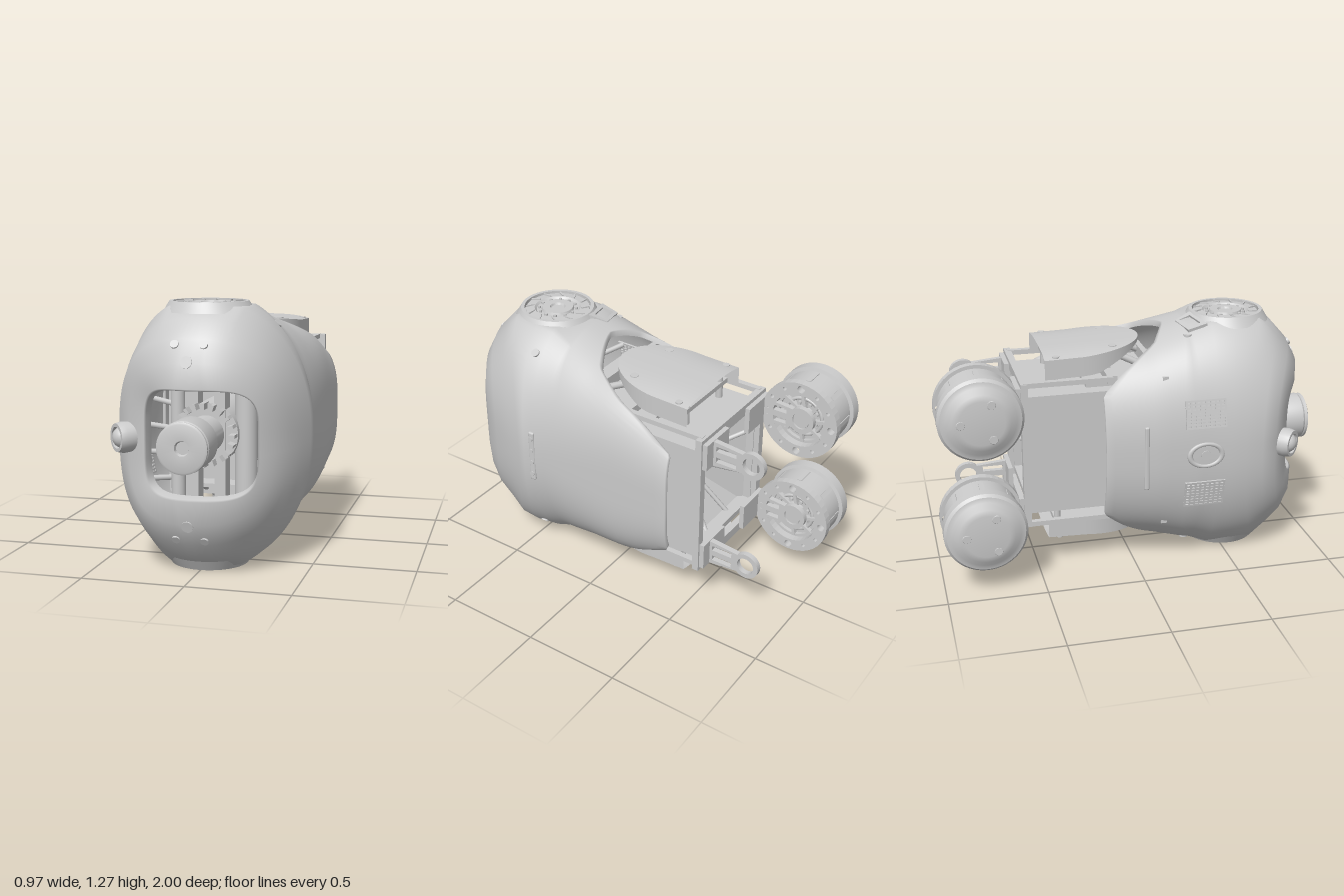
import * as THREE from 'three';
import { toCreasedNormals } from 'three/addons/utils/BufferGeometryUtils.js';
import { RoundedBoxGeometry } from 'three/addons/geometries/RoundedBoxGeometry.js';

const grey = new THREE.MeshStandardMaterial({ color: 0xcccccc, side: THREE.DoubleSide });
const MID = 0.635; // height of the mirror plane
const sgnPow = (v, p) => Math.sign(v) * Math.abs(v) ** p;

function add(parent, name, geometry, x = 0, y = 0, z = 0) {
  const m = new THREE.Mesh(geometry, grey);
  m.name = name;
  m.position.set(x, y, z);
  parent.add(m);
  return m;
}
const box = (p, name, w, h, d, x, y, z) => add(p, name, new THREE.BoxGeometry(w, h, d), x, y, z);
function cyl(p, name, r1, r2, len, axis, x, y, z, seg = 32) {
  const g = new THREE.CylinderGeometry(r1, r2, len, seg);
  if (axis === 'x') g.rotateZ(-Math.PI / 2);
  if (axis === 'z') g.rotateX(Math.PI / 2);
  return add(p, name, g, x, y, z);
}
function rod(p, name, a, b, r) {
  const A = new THREE.Vector3(...a), B = new THREE.Vector3(...b);
  return add(p, name, new THREE.TubeGeometry(new THREE.LineCurve3(A, B), 1, r, 10));
}
const lathe = (pts, seg = 56) =>
  toCreasedNormals(new THREE.LatheGeometry(pts.map(q => new THREE.Vector2(...q)), seg), 0.6);
const rectPath = (path, x0, y0, x1, y1) =>
  path.moveTo(x0, y0).lineTo(x1, y0).lineTo(x1, y1).lineTo(x0, y1).closePath();
const circle = (x, y, r) => new THREE.Path().absarc(x, y, r, 0, Math.PI * 2, true);
const extrude = (shape, depth) => new THREE.ExtrudeGeometry(shape, { depth, curveSegments: 20, bevelEnabled: false });

// Piecewise linear lookup in [key, value] pairs with rising keys
function lookup(table, k) {
  let i = 1;
  while (i < table.length - 1 && table[i][0] < k) i++;
  const [a, b] = [table[i - 1], table[i]];
  return a[1] + (b[1] - a[1]) * THREE.MathUtils.clamp((k - a[0]) / (b[0] - a[0]), 0, 1);
}

// Outer shell: rings from the front window to the swept rear edge
function shellGeometry() {
  // left extent (-x), right extent (+x), half height, centre z, -x side z, +x side z, squareness
  const rings = [
    [0.23, 0.29, 0.242, 0.87, 0.76, 0.76, 4.5], [0.235, 0.3, 0.25, 0.925, 0.82, 0.815, 4.5],
    [0.245, 0.308, 0.258, 0.933, 0.825, 0.815, 4.3], [0.34, 0.36, 0.37, 0.92, 0.77, 0.755, 3.1],
    [0.41, 0.415, 0.48, 0.86, 0.705, 0.66, 2.6], [0.43, 0.45, 0.57, 0.78, 0.63, 0.54, 2.3],
    [0.435, 0.475, 0.65, 0.7, 0.54, 0.46, 2.2], [0.435, 0.48, 0.66, 0.55, 0.46, 0.42, 2.2],
    [0.43, 0.452, 0.66, 0.42, 0.4, 0.4, 2.2], [0.43, 0.45, 0.61, 0.31, 0.32, 0.32, 2.3]];
  const rimRight = [[0, -0.43], [32, -0.42], [42, -0.27], [51, -0.1], [66, 0.09], [90, 0.2]];
  const rimLeft = [[0, -0.17], [36, -0.17], [50, -0.06], [70, 0.12], [90, 0.2]];
  const height = [[-0.43, 0.42], [-0.2, 0.5], [0.1, 0.55], [0.31, 0.61]];
  const left = [[-0.17, 0.385], [0.1, 0.42], [0.31, 0.43]];
  const squareness = [[-0.1, 3.2], [0.31, 2.3]];
  const N = 144, REAR = 12, pos = [], idx = [];
  const rows = rings.length + REAR + 1;
  for (let i = 0; i < rows; i++) for (let j = 0; j < N; j++) {
    const t = j / N * Math.PI * 2, c = Math.cos(t), s = Math.sin(t);
    const deg = Math.atan2(Math.abs(s), Math.abs(c)) * 180 / Math.PI;
    let xe, h, n, z, inset = 1;
    if (i < rings.length) {
      const [l, r, hh, z0, zl, zr, nn] = rings[i];
      xe = c < 0 ? l : r; h = hh; n = nn;
      z = z0 + ((c < 0 ? zl : zr) - z0) * Math.abs(c) ** (4 / n);
    } else {
      const k = Math.min(1, (i - rings.length + 1) / REAR);
      const z0 = 0.31 + 0.01 * c * c;
      z = z0 + (lookup(c < 0 ? rimLeft : rimRight, deg) - z0) * k;
      h = lookup(height, z);
      n = c < 0 ? 2.4 : lookup(squareness, z);
      xe = c < 0 ? lookup(left, z) : 0.45;
      if (i === rows - 1) inset = 0.95; // turned-in rear lip
    }
    const y = THREE.MathUtils.clamp(h * sgnPow(s, 2 / n), -0.615, 0.615);
    pos.push(xe * sgnPow(c, 2 / n) * inset, MID + y * inset, z);
  }
  for (let i = 0; i < rows - 1; i++) for (let j = 0; j < N; j++) {
    const a = i * N + j, b = i * N + (j + 1) % N, c = a + N, d = b + N;
    idx.push(a, c, b, b, c, d);
  }
  const g = new THREE.BufferGeometry();
  g.setAttribute('position', new THREE.Float32BufferAttribute(pos, 3));
  g.setIndex(idx);
  g.computeVertexNormals();
  return g;
}

// Domed rear cover with side skirts that deepen towards the back
function coverGeometry() {
  const g = new THREE.PlaneGeometry(2, 1, 24, 24), p = g.attributes.position;
  const skirt = [[-0.44, 0.1], [-0.17, 0.1], [0.085, 0.012]];
  for (let i = 0; i < p.count; i++) {
    const u = p.getX(i), v = p.getY(i) + 0.5, a = Math.abs(u);
    const z = 0.085 - 0.525 * v ** 1.6;
    const front = THREE.MathUtils.clamp((0.085 - z) / 0.32, 0, 1);
    const w = 0.242 * Math.sqrt(1 - (1 - front) ** 2);
    const across = Math.min(1, a / 0.75), down = Math.max(0, (a - 0.75) / 0.25);
    const y = 0.525 + 0.03 * (z + 0.43) - 0.022 * across ** 3 * front - lookup(skirt, z) * down;
    p.setXYZ(i, Math.sign(u) * across * w, y - 0.02, z);
  }
  return toCreasedNormals(g, 0.8);
}

// Mounting arm with two slots and an eye at the end, drawn in (distance back, height)
function armGeometry() {
  const s = new THREE.Shape().moveTo(0, -0.07).lineTo(0.05, -0.065).lineTo(0.19, -0.05)
    .absarc(0.23, 0, 0.07, -2.3, 2.3, false).lineTo(0.05, 0.065).lineTo(0, 0.07).closePath();
  s.holes.push(circle(0.23, 0, 0.045));
  for (const y of [-0.03, 0.03]) s.holes.push(rectPath(new THREE.Path(), 0.04, y - 0.014, 0.15, y + 0.014));
  return extrude(s, 0.028).rotateY(Math.PI / 2);
}

function wheel(parent, y) {
  const w = new THREE.Group();
  w.name = 'wheel';
  w.position.set(-0.24, y, -0.79);
  parent.add(w);
  // profile as radius and distance outwards
  const profile = [[0.13, 0.07], [0.13, 0], [0.19, 0], [0.19, 0.14], [0.208, 0.145], [0.208, 0.2],
    [0.195, 0.215], [0.17, 0.22], [0.14, 0.245], [0.11, 0.25], [0, 0.25]];
  add(w, 'wheelDrum', lathe(profile).rotateZ(Math.PI / 2));
  const ring = new THREE.Shape().absarc(0, 0, 0.208, 0, Math.PI * 2, false);
  ring.holes.push(circle(0, 0, 0.145));
  for (let i = 0; i < 12; i++) {
    const a = i * Math.PI / 6;
    ring.holes.push(circle(0.177 * Math.cos(a), 0.177 * Math.sin(a), i % 3 ? 0.01 : 0.02));
  }
  add(w, 'innerFlange', extrude(ring, 0.04).rotateY(Math.PI / 2));
  cyl(w, 'hubDisc', 0.13, 0.13, 0.02, 'x', -0.03, 0, 0);
  cyl(w, 'hub', 0.05, 0.06, 0.06, 'x', 0, 0, 0);
  add(w, 'hubRing', new THREE.TorusGeometry(0.1, 0.01, 8, 40).rotateY(Math.PI / 2), -0.015);
  for (let i = 0; i < 8; i++) {
    const a = i * Math.PI / 4;
    const spoke = box(w, 'spoke', 0.03, 0.09, 0.016, -0.01, 0.095 * Math.cos(a), 0.095 * Math.sin(a));
    spoke.rotation.x = a + 0.25;
    cyl(w, 'hubBolt', 0.01, 0.01, 0.02, 'x', -0.015, 0.075 * Math.cos(a + 0.4), 0.075 * Math.sin(a + 0.4), 10);
    const rib = box(w, 'drumRib', 0.1, 0.012, 0.025, -0.08, 0.187 * Math.cos(a), 0.187 * Math.sin(a));
    rib.rotation.x = a;
  }
  for (let i = 0; i < 3; i++) {
    const a = i * Math.PI * 2 / 3 + 0.5;
    cyl(w, 'capStud', 0.025, 0.02, 0.008, 'x', -0.248, 0.1 * Math.cos(a), 0.1 * Math.sin(a), 16);
  }
}

// Round joint in the top collar, repeated underneath
function collar(p) {
  add(p, 'collarRing', lathe([[0.22, 0.585], [0.19, 0.635], [0.172, 0.635], [0.172, 0.6]]), 0, 0, 0.545);
  add(p, 'jointDisc', lathe([[0.17, 0.6], [0.165, 0.625], [0.12, 0.628], [0.11, 0.617], [0.085, 0.617],
    [0.08, 0.63], [0.04, 0.63], [0.035, 0.62], [0, 0.62]]), 0, 0, 0.545);
  for (let i = 0; i < 12; i++) {
    const a = i * Math.PI / 6, s = Math.sin(a), c = Math.cos(a);
    cyl(p, 'jointBolt', 0.008, 0.008, 0.012, 'y', 0.097 * c, 0.622, 0.545 + 0.097 * s, 10);
    box(p, 'jointVane', 0.045, 0.012, 0.008, 0.145 * c, 0.627, 0.545 + 0.145 * s).rotation.y = -a + 0.5;
  }
  const loop = new THREE.Shape().moveTo(-0.09, 0).lineTo(0.09, 0).lineTo(0.07, 0.1).lineTo(-0.07, 0.1).closePath();
  loop.holes.push(rectPath(new THREE.Path(), -0.055, 0.02, 0.055, 0.08));
  const m = add(p, 'latchLoop', extrude(loop, 0.015).rotateX(-Math.PI / 2), -0.095, 0.608, 0.375);
  m.rotation.set(-0.3, 0.2, 0.16);
}

export function createModel() {
  const model = new THREE.Group();
  model.name = 'torso';
  add(model, 'outerShell', shellGeometry());

  // Upper and lower copies of the collar and rear cover
  for (const turn of [0, Math.PI]) {
    const ends = new THREE.Group(), covers = new THREE.Group();
    ends.name = 'collar'; covers.name = 'rearCover';
    ends.position.set(-0.005, MID, 0); covers.position.set(0.04, MID, 0);
    ends.rotation.z = covers.rotation.z = turn;
    model.add(ends, covers);
    collar(ends);
    add(covers, 'coverPlate', coverGeometry());
    for (const x of [-0.155, 0.155]) {
      cyl(covers, 'coverBolt', 0.022, 0.022, 0.012, 'y', x, 0.507, -0.08, 14);
      cyl(covers, 'coverBolt', 0.018, 0.018, 0.012, 'y', x * 1.4, 0.488, -0.38, 14);
      box(covers, 'topRail', 0.03, 0.025, 0.45, x * 1.75, 0.375, -0.33);
      rod(covers, 'coverStrut', [x, 0.46, -0.05], [x * 1.2, 0.34, 0.2], 0.018);
      rod(covers, 'coverPost', [x, 0.34, -0.38], [x, 0.49, -0.38], 0.018);
    }
    box(covers, 'crossBeam', 0.5, 0.04, 0.05, 0, 0.36, -0.1);
    box(covers, 'coverTray', 0.4, 0.025, 0.3, 0, 0.42, -0.25);
    box(covers, 'innerDeck', 0.44, 0.02, 0.5, 0, 0.33, 0.02);
  }

  // Front sensor barrel with a toothed base
  add(model, 'frontBarrel', lathe([[0.09, -0.25], [0.09, -0.03], [0.115, -0.02], [0.122, 0], [0.122, 0.14],
    [0.115, 0.15], [0.12, 0.155], [0.12, 0.165], [0.11, 0.17], [0.035, 0.165], [0.03, 0.15], [0, 0.15]])
    .rotateX(Math.PI / 2), -0.008, MID, 0.83);
  for (let i = 0; i < 20; i++) {
    const a = i * Math.PI / 10;
    box(model, 'baseTooth', 0.03, 0.016, 0.08, -0.008 + 0.14 * Math.cos(a), MID + 0.14 * Math.sin(a), 0.62).rotation.z = a;
  }

  // Flush bolts on the shell, above and below
  for (const s of [-1, 1]) {
    for (const x of [-0.077, 0.06])
      cyl(model, 'frontBolt', 0.02, 0.02, 0.016, 'z', x, MID + s * 0.453, 0.868, 16).rotation.x = -s * 0.55;
    cyl(model, 'frontPlug', 0.028, 0.028, 0.016, 'z', -0.008, MID + s * 0.378, 0.912, 20).rotation.x = -s * 0.3;
    cyl(model, 'shellBolt', 0.022, 0.022, 0.03, 'y', -0.19, MID + s * 0.55, 0.29, 14);
    cyl(model, 'shellBolt', 0.022, 0.022, 0.03, 'y', 0.3, MID + s * 0.515, 0.45, 14).rotation.z = -s * 0.7;
  }

  // Side sensor on the front corner
  const eye = new THREE.Group();
  eye.name = 'sideSensor';
  eye.position.set(-0.345, MID, 0.765);
  eye.rotation.y = -Math.PI / 4;
  model.add(eye);
  add(eye, 'sensorCup', lathe([[0.07, -0.05], [0.075, 0.03], [0.068, 0.06], [0.052, 0.06], [0.05, 0.02]], 24).rotateX(Math.PI / 2));
  add(eye, 'sensorLens', new THREE.SphereGeometry(0.052, 24, 16), 0, 0, 0.025);

  // Grilles, recess and slots on the shell sides
  for (const s of [-1, 1]) {
    const vent = new THREE.Group();
    vent.name = 'vent';
    vent.position.set(-0.409, MID + s * 0.215, 0.33);
    vent.rotation.z = -s * 0.2;
    model.add(vent);
    for (let i = 0; i < 9; i++) {
      box(vent, 'ventBar', 0.016, 0.14, 0.009, 0, 0, (i - 4) * 0.025);
      box(vent, 'ventBar', 0.016, 0.009, 0.21, 0, (i - 4) * 0.017, 0);
    }
  }
  const oval = add(model, 'sideRecess', new THREE.TorusGeometry(0.06, 0.01, 10, 32).rotateY(Math.PI / 2), -0.428, MID, 0.33);
  oval.scale.z = 1.4;
  cyl(model, 'recessButton', 0.025, 0.025, 0.02, 'x', -0.426, MID, 0.33);
  add(model, 'leftSlot', new RoundedBoxGeometry(0.02, 0.34, 0.025, 2, 0.009), -0.405, MID, 0.03);
  add(model, 'rightSlot', new RoundedBoxGeometry(0.02, 0.29, 0.035, 2, 0.009), 0.447, MID, 0.39);
  for (let i = 0; i < 4; i++) cyl(model, 'slotHole', 0.013, 0.013, 0.01, 'x', 0.457, 0.53 + i * 0.07, 0.39, 14);

  // Rear module: open box and end frame
  const tube = rectPath(new THREE.Shape(), -0.24, 0.32, 0.34, 0.95);
  tube.holes.push(rectPath(new THREE.Path(), -0.21, 0.35, 0.31, 0.92));
  add(model, 'rearBox', extrude(tube, 0.58), 0, 0, -0.54);
  const frame = rectPath(new THREE.Shape(), -0.255, 0.25, 0.355, 1.02);
  frame.holes.push(rectPath(new THREE.Path(), -0.215, 0.3, 0.315, 0.97));
  add(model, 'rearFrame', extrude(frame, 0.035), 0, 0, -0.57);

  // Funnel, ring and spokes inside the rear frame
  const funnel = new THREE.CylinderGeometry(0.11, 0.42, 0.2, 4, 4, true).rotateY(Math.PI / 4).rotateX(Math.PI / 2);
  add(model, 'rearFunnel', toCreasedNormals(funnel, 0.5), 0.05, MID, -0.4).scale.set(0.88, 1.06, 1);
  add(model, 'rearRing', new THREE.TorusGeometry(0.11, 0.022, 12, 40), 0.05, MID, -0.33);
  add(model, 'rearCap', new THREE.SphereGeometry(0.1, 28, 14), 0.05, MID, -0.29);
  for (let i = 0; i < 8; i++) {
    const a = i * Math.PI / 4 + Math.PI / 8, c = Math.cos(a), s = Math.sin(a);
    rod(model, 'rearSpoke', [0.05 + 0.11 * c, MID + 0.11 * s, -0.34], [0.05 + 0.28 * c, MID + 0.33 * s, -0.5], 0.012);
  }

  // Arms and wheels
  for (const y of [0.93, 0.34]) {
    wheel(model, y);
    for (const x of [-0.228, 0.26]) {
      add(model, 'arm', armGeometry(), x, y, -0.57);
      box(model, 'armFoot', 0.2, 0.14, 0.025, x < 0 ? -0.15 : 0.245, y, -0.583);
    }
  }

  // Inner core seen through the window and rear gaps
  cyl(model, 'coreMotor', 0.15, 0.15, 0.5, 'z', 0, MID, 0.35);
  for (const x of [-0.075, 0.06]) box(model, 'spineColumn', 0.055, 1.08, 0.09, x, MID, 0.56);
  cyl(model, 'sideCylinder', 0.055, 0.055, 0.72, 'y', 0.17, MID, 0.52);
  cyl(model, 'sideCylinder', 0.035, 0.035, 0.72, 'y', -0.18, MID, 0.5);
  box(model, 'bulkhead', 0.7, 0.8, 0.03, 0.01, MID, 0.14);
  for (let i = 0; i < 5; i++) {
    const y = MID + (i - 2) * 0.12;
    rod(model, 'rib', [0.2, y, 0.5], [0.4, y + (i - 2) * 0.03, 0.42], 0.014);
    rod(model, 'rib', [-0.18, y, 0.5], [-0.38, y + (i - 2) * 0.02, 0.4], 0.014);
  }
  return model;
}
